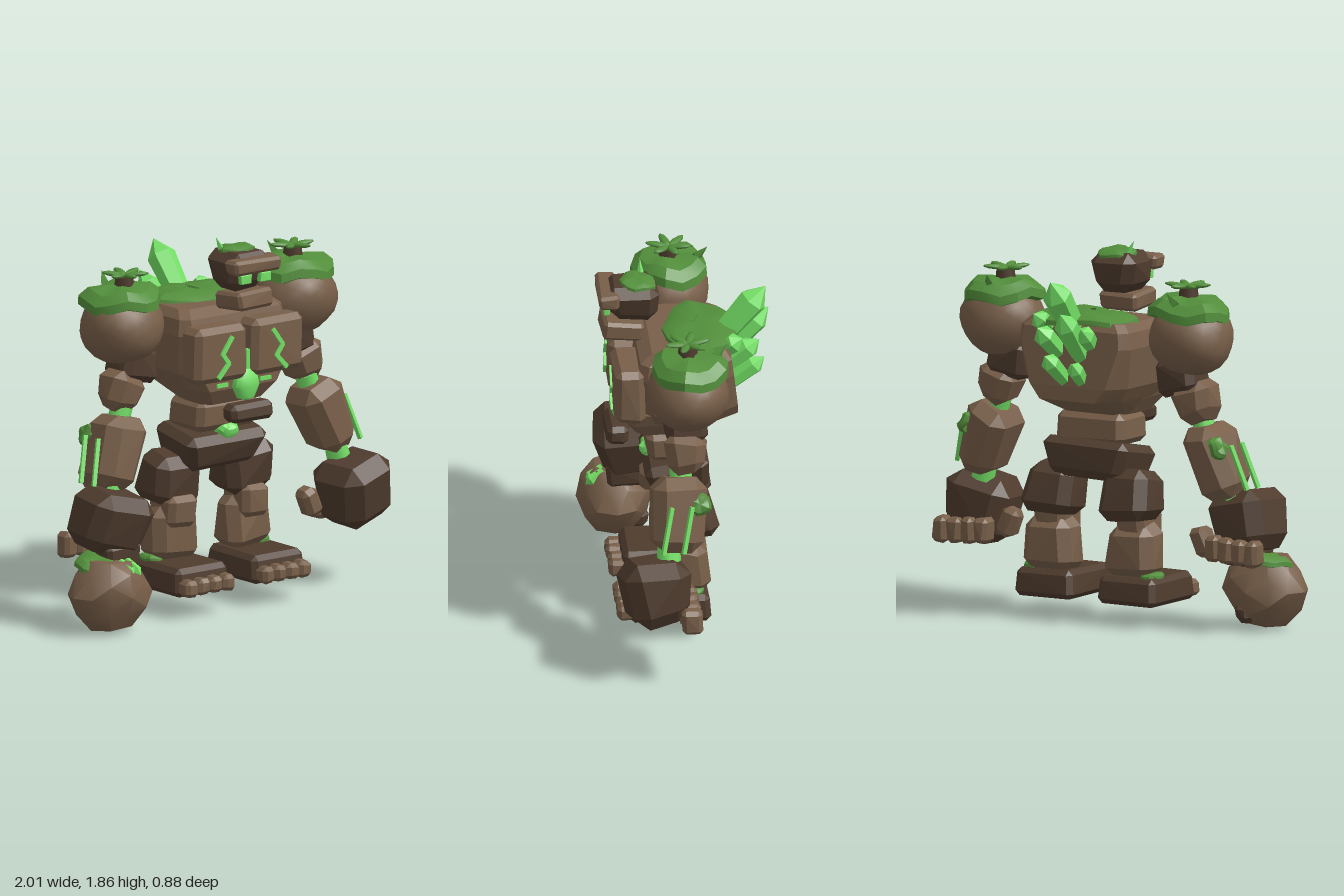
import * as THREE from 'three';
import { toCreasedNormals } from 'three/addons/utils/BufferGeometryUtils.js';
import { ConvexGeometry } from 'three/addons/geometries/ConvexGeometry.js';

const V = (x, y, z) => new THREE.Vector3(x, y, z);

function material(name, color) {
  const m = new THREE.MeshStandardMaterial({ color });
  m.name = name;
  return m;
}

export function createModel() {
  const stone = material('light stone', 0x785f49);
  const dark = material('dark stone', 0x4f3c2e);
  const moss = material('moss', 0x528e3b);
  const glow = material('glowing crystal', 0x74e066);

  const model = new THREE.Group();
  const body = new THREE.Group();
  body.name = 'golem';
  body.position.x = 0.035;
  model.add(body);

  let seed = 7;
  const rand = () => ((seed = (seed * 16807) % 2147483647) / 2147483647) - 0.5;

  function add(name, geometry, mat, pos = [0, 0, 0], rot = [0, 0, 0]) {
    const mesh = new THREE.Mesh(geometry, mat);
    mesh.name = name;
    mesh.position.set(...pos);
    mesh.rotation.set(...rot);
    body.add(mesh);
    return mesh;
  }

  // Uneven stone block with chamfered corners; top and bottom scale its ends
  function rock(name, mat, pos, [w, h, d], { rot, top = 1, bottom = 1, cut = 0.18, jitter = 0.1 } = {}) {
    const m = Math.min(w, h, d), c = m * cut, pts = [];
    for (const x of [-1, 1]) for (const y of [-1, 1]) for (const z of [-1, 1]) {
      const k = y > 0 ? top : bottom;
      const p = V(x * w * k / 2 + rand() * m * jitter, y * h / 2 + rand() * m * jitter, z * d * k / 2 + rand() * m * jitter);
      pts.push(V(p.x, p.y - y * c, p.z - z * c), V(p.x - x * c, p.y, p.z - z * c), V(p.x - x * c, p.y - y * c, p.z));
    }
    return add(name, new ConvexGeometry(pts), mat, pos, rot);
  }

  // Convex mass, narrower behind, from levels: [y, half width, back z, front z, corner cut]
  function mass(name, mat, levels) {
    const pts = [];
    for (const [y, w, z0, z1, c] of levels) for (const s of [-1, 1]) {
      pts.push(V(s * w * 0.96, y, z0 + c), V(s * (w * 0.92 - c * 0.6), y, z0), V(s * w, y, z1 - c), V(s * (w - c), y, z1));
    }
    return add(name, new ConvexGeometry(pts), mat);
  }

  // Boulder with gentle lumps, flattened above and below
  function boulder(name, mat, pos, size, lump, detail) {
    const g = new THREE.IcosahedronGeometry(1, detail), p = g.attributes.position;
    for (let i = 0; i < p.count; i++) {
      const v = V().fromBufferAttribute(p, i);
      v.multiplyScalar(1 + lump * Math.sin(3 * v.x + pos[0] * 9) * Math.cos(4 * v.y + 2 * v.z));
      v.y = Math.min(0.85, Math.max(-0.97, v.y));
      p.setXYZ(i, v.x * size[0], v.y * size[1], v.z * size[2]);
    }
    return add(name, toCreasedNormals(g, 0.6), mat, pos);
  }

  // Ragged moss cushion
  function mossCap(name, pos, [rx, h, rz], rot) {
    const prof = [[0, -0.2], [0.8, -0.5], [1, -0.4], [0.98, 0], [0.75, 0.38], [0.35, 0.5], [0, 0.5]];
    const g = new THREE.LatheGeometry(prof.map(([x, y]) => new THREE.Vector2(x, y)), 14);
    const p = g.attributes.position;
    for (let i = 0; i < p.count; i++) {
      const x = p.getX(i), y = p.getY(i), z = p.getZ(i), a = Math.atan2(x, z), r = Math.hypot(x, z);
      const k = 1 + 0.04 * Math.sin(3 * a + pos[0] * 8) + 0.03 * Math.sin(5 * a + 1);
      p.setXYZ(i, x * k * rx, (y + 0.16 * r * Math.sin(4 * a + pos[0] * 5)) * h, z * k * rz);
    }
    return add(name, toCreasedNormals(g, 0.5), moss, pos, rot);
  }

  // Faceted shard from a to b; share is the part of its length before the tip
  function shard(name, mat, a, b, r, share = 0.78, sides = 6) {
    const from = V(...a), dir = V(...b).sub(from), L = dir.length();
    const pts = [[0, 0], [r * 0.75, 0], [r, L * share], [0, L]].map(([x, y]) => new THREE.Vector2(x, y));
    const g = new THREE.LatheGeometry(pts, sides).toNonIndexed();
    g.computeVertexNormals();
    const mesh = add(name, g, mat, a);
    mesh.quaternion.setFromUnitVectors(V(0, 1, 0), dir.normalize());
  }

  // Square glowing bar from a to b
  function rod(name, a, b, w = 0.02) {
    const from = V(...a), to = V(...b), dir = to.clone().sub(from);
    const mesh = add(name, new THREE.BoxGeometry(w, dir.length() + w * 0.4, w), glow);
    mesh.position.copy(from).lerp(to, 0.5);
    mesh.quaternion.setFromUnitVectors(V(0, 1, 0), dir.normalize());
  }

  // Torso
  mass('torso', stone, [
    [1.04, 0.18, -0.05, 0.2, 0.05], [1.13, 0.25, -0.27, 0.24, 0.12], [1.2, 0.3, -0.265, 0.25, 0.1],
    [1.4, 0.335, -0.24, 0.24, 0.05], [1.48, 0.32, -0.23, 0.22, 0.04], [1.52, 0.28, -0.2, 0.16, 0.04]]);
  mass('abdomen', stone, [[1.04, 0.19, 0, 0.23, 0.04], [1.12, 0.25, 0, 0.28, 0.04], [1.19, 0.28, 0, 0.28, 0.03]]);
  rock('waist', stone, [0, 0.965, 0.05], [0.38, 0.16, 0.26], { cut: 0.2 });
  rock('beltStone', dark, [0, 1.005, 0.315], [0.26, 0.095, 0.11], { cut: 0.25 });
  rock('pelvis', dark, [0, 0.8, 0.02], [0.49, 0.19, 0.32], { rot: [0.2, 0, 0], bottom: 0.88, cut: 0.2 });
  mossCap('pelvisMoss', [0, 0.895, 0.16], [0.065, 0.055, 0.05], [0.6, 0, 0]).material = glow;
  mossCap('backMoss', [0, 1.53, -0.095], [0.275, 0.06, 0.185]);
  shard('backLeaf', moss, [0, 1.54, -0.03], [-0.06, 1.575, -0.1], 0.02, 0.3, 4);

  // Chest gem with its spike
  const gem = new THREE.LatheGeometry([[0, -0.09], [0.05, -0.075], [0.078, -0.015], [0.068, 0.03], [0.035, 0.07], [0, 0.09]]
    .map(([x, y]) => new THREE.Vector2(x, y)), 10);
  gem.scale(1, 1, 0.65);
  add('chestGem', toCreasedNormals(gem, 0.8), glow, [0, 1.145, 0.3]);
  rod('gemSpike', [0, 1.2, 0.31], [0, 1.31, 0.31], 0.022);

  // Back crystals
  for (const [a, b, r] of [
    [[0, 1.4, -0.14], [0, 1.74, -0.42], 0.072], [[-0.05, 1.3, -0.17], [-0.07, 1.59, -0.44], 0.06],
    [[0.03, 1.2, -0.2], [0.04, 1.37, -0.41], 0.048], [[0.07, 1.31, -0.16], [0.1, 1.5, -0.38], 0.055],
    [[-0.09, 1.38, -0.16], [-0.14, 1.5, -0.35], 0.05], [[0.11, 1.42, -0.14], [0.18, 1.55, -0.29], 0.05],
    [[-0.06, 1.2, -0.2], [-0.09, 1.33, -0.36], 0.042],
  ]) shard('backCrystal', glow, a, b, r);

  // Head
  rock('head', dark, [0, 1.71, 0.24], [0.25, 0.2, 0.26], { bottom: 0.9, cut: 0.24 });
  rock('brow', stone, [0, 1.745, 0.36], [0.29, 0.075, 0.1], { cut: 0.2 });
  rock('jaw', stone, [0, 1.565, 0.29], [0.22, 0.09, 0.2], { rot: [-0.12, 0, 0] });
  mossCap('headMoss', [0.01, 1.805, 0.21], [0.1, 0.035, 0.09], [-0.1, 0, 0]);
  shard('headThorn', glow, [-0.06, 1.79, 0.19], [-0.1, 1.87, 0.19], 0.018, 0.15, 4);

  for (const s of [-1, 1]) {
    const side = s > 0 ? 'left' : 'right';
    const n = (part) => side + part;
    const low = s < 0 ? 0.055 : 0;

    rock(n('Eye'), glow, [s * 0.06, 1.682, 0.368], [0.066, 0.046, 0.03], { cut: 0.1 });

    // Chest plate with glowing crack
    rock(n('ChestPlate'), stone, [s * 0.177, 1.315, 0.275], [0.325, 0.28, 0.15], { cut: 0.2, jitter: 0.06 });
    const crack = [[0.13, 1.4], [0.188, 1.32], [0.15, 1.27], [0.212, 1.205]].map(([x, y]) => [s * x, y, 0.35]);
    for (let i = 0; i < 3; i++) rod(n('ChestCrack'), crack[i], crack[i + 1], 0.022);
    rod(n('BellyMark'), [s * 0.105, 1.145, 0.28], [s * 0.165, 1.145, 0.28]);

    // Shoulder, moss and flower
    boulder(n('Shoulder'), stone, [s * 0.545, 1.455, 0.01], [0.215, 0.19, 0.2], 0.03, 3);
    mossCap(n('ShoulderMoss'), [s * 0.54, 1.605, 0], [0.21, 0.11, 0.19], [0, 0, -s * 0.05]);
    shard(n('ShoulderLeaf'), moss, [s * 0.54, 1.63, -0.12], [s * 0.52, 1.7, -0.18], 0.025, 0.2, 4);
    add(n('FlowerStem'), new THREE.CylinderGeometry(0.045, 0.05, 0.06, 6), dark, [s * 0.53, 1.67, 0.01]);
    for (let i = 0; i < 6; i++) {
      const a = i * Math.PI / 3 + s * 0.3;
      const petal = new THREE.SphereGeometry(1, 8, 5);
      petal.scale(0.062, 0.013, 0.022);
      add(n('Petal'), petal, moss, [s * 0.525 + Math.cos(a) * 0.056, 1.713, 0.01 + Math.sin(a) * 0.056], [0, -a, 0.1]);
    }

    // Arm
    rock(n('UpperArm'), dark, [s * 0.485, 1.27, 0.02], [0.21, 0.19, 0.2], { rot: [0, 0, s * 0.2] });
    rock(n('ElbowStone'), stone, [s * 0.57, 1.135, 0.025], [0.22, 0.2, 0.21], { rot: [0, 0, s * 0.35], bottom: 0.85, cut: 0.25 });
    add(n('ElbowGlow'), new THREE.CylinderGeometry(0.055, 0.055, 0.08, 8), glow, [s * 0.59, 1.025, 0.05], [0, 0, s * 0.3]);
    rock(n('Forearm'), stone, [s * 0.66, 0.85, 0.07], [0.245, 0.37, 0.29],
      { rot: [-0.08, 0, s * 0.35], top: 0.95, bottom: 0.88, cut: 0.24 });
    mossCap(n('ForearmMoss'), [s * 0.73, 0.93, -0.03], [0.06, 0.05, 0.06], [0, 0, -s * 1.1]);
    for (const z of [0.01, 0.11]) rod(n('ForearmRod'), [s * 0.775, 0.935, z], [s * 0.838, 0.72, z + 0.045]);
    add(n('WristGlow'), new THREE.CylinderGeometry(0.055, 0.06, 0.08, 8), glow, [s * 0.72, 0.665, 0.12], [0, 0, s * 0.3]);

    // Hand
    rock(n('Fist'), dark, [s * 0.77, 0.48 + low, 0.18], [0.35, 0.33 - low * 0.7, 0.32],
      { rot: [0.1, s * 0.15, s * 0.24], cut: 0.22, bottom: 0.92 });
    for (let i = 0; i < 4; i++) {
      rock(n('Finger'), stone, [s * (0.67 + i * 0.077), 0.385 - i * 0.003 + low * 0.6, 0.03 - i * 0.003], [0.078, 0.125, 0.1], { cut: 0.25 });
    }
    rock(n('Thumb'), stone, [s * 0.56, 0.43, 0.1], [0.1, 0.15, 0.1], { rot: [0, 0, s * 0.4], cut: 0.25 });

    // Leg
    rock(n('Thigh'), dark, [s * 0.22, 0.65, -0.02], [0.29, 0.25, 0.25], { rot: [0.15, 0, s * 0.1], top: 0.94, cut: 0.2 });
    rock(n('Knee'), stone, [s * 0.23, 0.49, 0.02], [0.17, 0.16, 0.2]);
    rock(n('Shin'), stone, [s * 0.235, 0.375, -0.015], [0.3, 0.27, 0.21], { top: 0.86, bottom: 0.95, cut: 0.24 });
    mossCap(n('AnkleMoss'), [s * 0.335, 0.262, -0.02], [0.055, 0.03, 0.07]);
    rock(n('Foot'), dark, [s * 0.24, 0.18, 0.08], [0.335, 0.14, 0.4], { top: 0.95, cut: 0.18, jitter: 0.04 });
    for (let i = 0; i < 4; i++) {
      rock(n('Toe'), stone, [s * 0.24 + (i - 1.5) * 0.077, 0.16, 0.29], [0.074, 0.08, 0.1], { cut: 0.25 });
    }
  }

  // Boulder hanging below the right fist
  boulder('clubBoulder', stone, [-0.82, 0.2, 0.255], [0.214, 0.2, 0.18], 0.09, 1);
  rock('boulderKnob', dark, [-0.78, 0.09, 0.14], [0.1, 0.1, 0.1], { cut: 0.3 });
  rock('boulderNeck', dark, [-0.75, 0.38, 0.2], [0.2, 0.12, 0.2]);
  mossCap('boulderMoss', [-0.85, 0.355, 0.22], [0.13, 0.055, 0.13], [0.15, 0, 0.1]);
  for (const x of [-0.8, -0.76]) shard('boulderShard', glow, [x, 0.36, 0.31], [x + 0.02, 0.3, 0.4], 0.028, 0.7, 5);

  return model;
}
